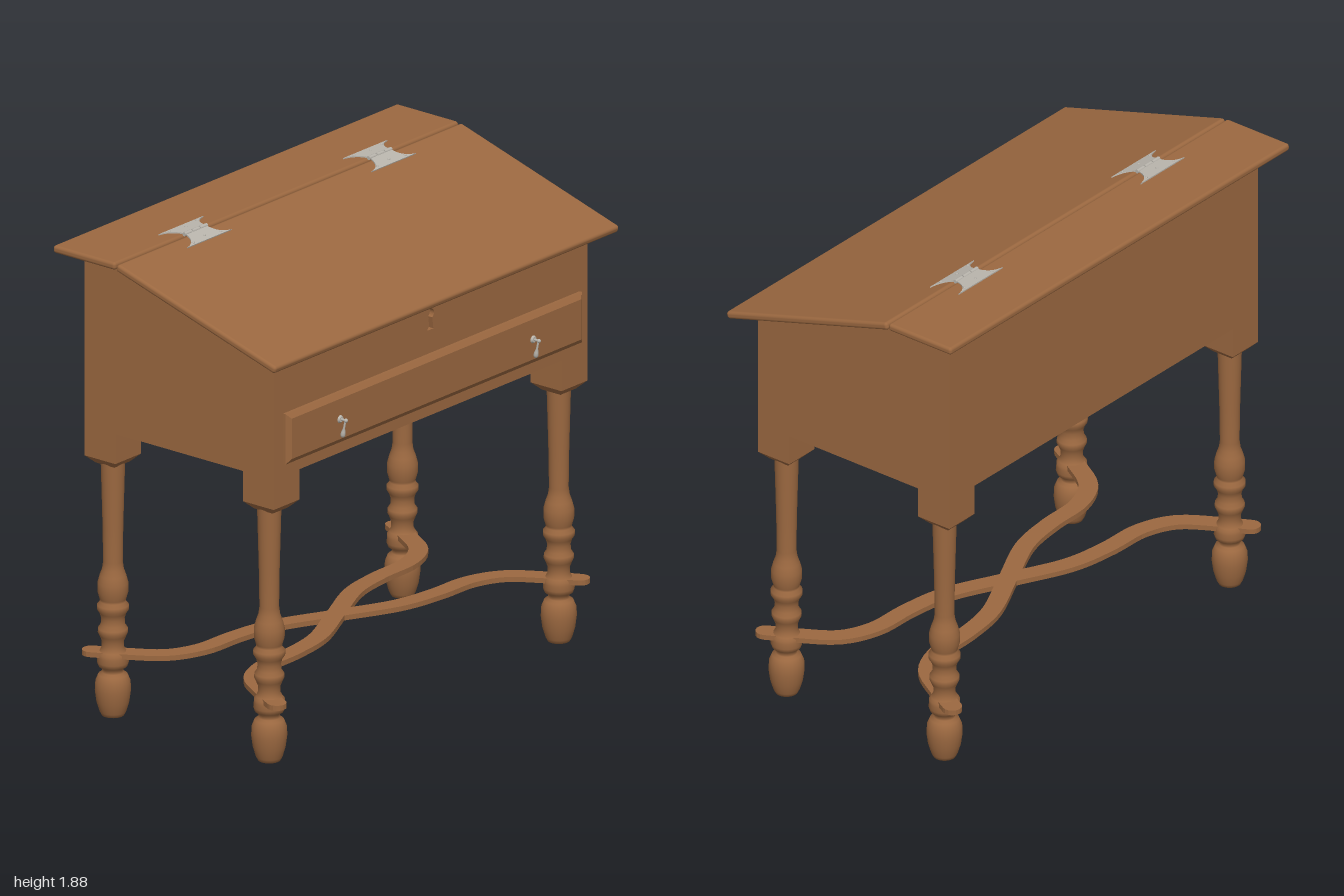
import * as THREE from 'three';
import { RoundedBoxGeometry } from 'three/addons/geometries/RoundedBoxGeometry.js';

const wood = new THREE.MeshStandardMaterial({ color: 0x9b6840 });
const metal = new THREE.MeshStandardMaterial({ color: 0xb8b4ac });

function add(parent, name, geometry, material, x = 0, y = 0, z = 0) {
  const mesh = new THREE.Mesh(geometry, material);
  mesh.name = name;
  mesh.position.set(x, y, z);
  parent.add(mesh);
  return mesh;
}

const box = (w, h, d) => new THREE.BoxGeometry(w, h, d);
const vecs = (pts) => pts.map(([x, y]) => new THREE.Vector2(x, y));
const extrude = (shape, depth, options = {}) =>
  new THREE.ExtrudeGeometry(shape, { depth, bevelEnabled: false, curveSegments: 12, ...options });

const FOLD_Z = -0.235, TOP_Y = 1.855;        // line where the lid hinges
const SLOPE = Math.atan2(0.23, 0.775);

// Turned leg: foot, rings, baluster and tapering column
function legGeometry() {
  const profile = [
    [0, 0], [0.042, 0], [0.05, 0.015], [0.062, 0.055], [0.068, 0.1], [0.066, 0.135], [0.055, 0.162],
    [0.04, 0.17], [0.04, 0.185], [0.054, 0.195], [0.06, 0.212], [0.058, 0.232], [0.058, 0.245], [0.05, 0.255],
    [0.042, 0.27], [0.042, 0.295], [0.05, 0.315], [0.057, 0.33], [0.056, 0.345], [0.046, 0.36],
    [0.044, 0.385], [0.05, 0.405], [0.06, 0.42], [0.06, 0.438], [0.048, 0.452], [0.05, 0.462],
    [0.058, 0.49], [0.058, 0.525], [0.05, 0.555], [0.041, 0.58], [0.037, 0.61], [0.039, 0.75],
    [0.043, 0.9], [0.046, 1.01]];
  return new THREE.LatheGeometry(vecs(profile), 24);
}

// Flat S-shaped bar from one corner to the opposite one
function stretcherGeometry(side) {
  const half = [[0.88, 0.45], [0.82, 0.34], [0.73, 0.21], [0.6, 0.15], [0.42, 0.14], [0.24, 0.11]];
  const pts = [...half, [0, 0], ...half.map(([x, z]) => [-x, -z]).reverse()];
  const curve = new THREE.CatmullRomCurve3(pts.map(([x, z]) => new THREE.Vector3(x, side * z, 0)));
  const outline = [], r = 0.037, n = 60;
  const pass = (from, to, step, sign) => {
    for (let i = from; i !== to + step; i += step) {
      const p = curve.getPointAt(i / n), t = curve.getTangentAt(i / n);
      outline.push(new THREE.Vector2(p.x - sign * t.y * r, p.y + sign * t.x * r));
    }
    // rounded end
    const p = curve.getPointAt(to / n), t = curve.getTangentAt(to / n);
    const start = Math.atan2(sign * t.x, -sign * t.y);
    for (let k = 1; k < 8; k++) {
      const a = start - (k / 8) * Math.PI;
      outline.push(new THREE.Vector2(p.x + r * Math.cos(a), p.y + r * Math.sin(a)));
    }
  };
  pass(0, n, 1, 1);
  pass(n, 0, -1, -1);
  return extrude(new THREE.Shape(outline), 0.02).rotateX(Math.PI / 2);
}

// Butterfly hinge leaf, lying flat and opening towards +z
function leafGeometry() {
  const s = new THREE.Shape();
  s.moveTo(-0.06, 0);
  s.lineTo(0.06, 0);
  s.quadraticCurveTo(0.065, -0.06, 0.13, -0.07);
  s.lineTo(-0.13, -0.07);
  s.quadraticCurveTo(-0.065, -0.06, -0.06, 0);
  return extrude(s, 0.005).rotateX(-Math.PI / 2);
}

function buildHinge(x) {
  const hinge = new THREE.Group();
  hinge.name = 'hinge';
  hinge.position.set(x, TOP_Y + 0.015, FOLD_Z);
  for (const front of [true, false]) {
    const leaf = new THREE.Group();
    leaf.name = front ? 'frontLeaf' : 'backLeaf';
    leaf.rotation.set(front ? SLOPE : 0, front ? 0 : Math.PI, 0);
    add(leaf, 'leafPlate', leafGeometry(), metal);
    for (const sx of [-0.08, 0, 0.08]) {
      const screw = add(leaf, 'screw', new THREE.SphereGeometry(0.006, 10, 6), metal, sx, 0.005, sx ? 0.058 : 0.045);
      screw.scale.y = 0.6;
    }
    hinge.add(leaf);
  }
  for (const kx of [-0.045, 0, 0.045]) {
    add(hinge, 'knuckle', new THREE.CylinderGeometry(0.008, 0.008, 0.04, 12).rotateZ(Math.PI / 2), metal, kx, 0.003, 0);
  }
  return hinge;
}

// Drop pull hanging from a small rosette
function buildPull(x) {
  const pull = new THREE.Group();
  pull.name = 'drawerPull';
  pull.position.set(x, 1.3, 0.49);
  add(pull, 'rosette', new THREE.CylinderGeometry(0.011, 0.016, 0.008, 16).rotateX(Math.PI / 2), metal, 0, 0, 0.003);
  add(pull, 'stem', new THREE.CylinderGeometry(0.005, 0.005, 0.03, 10).rotateX(Math.PI / 2), metal, 0, 0, 0.015);
  add(pull, 'stemKnob', new THREE.SphereGeometry(0.008, 12, 8), metal, 0, 0, 0.028);
  const drop = [[0, -0.075], [0.007, -0.071], [0.01, -0.062], [0.008, -0.05], [0.004, -0.035], [0.004, -0.01], [0, 0]];
  const mesh = add(pull, 'drop', new THREE.LatheGeometry(vecs(drop), 14), metal, 0, 0.002, 0.026);
  mesh.rotation.x = 0.2;
  return pull;
}

function buildCase() {
  const desk = new THREE.Group();
  desk.name = 'case';

  // Side panels with the sloping top edge
  const side = new THREE.Shape(vecs([[-0.46, 1.15], [0.46, 1.15], [0.46, 1.633], [FOLD_Z, 1.84], [-0.46, 1.84]]));
  for (const x of [-0.91, 0.89]) {
    add(desk, 'sidePanel', extrude(side, 0.02).rotateY(-Math.PI / 2).scale(1, 1, 1), wood, x + 0.02, 0, 0);
  }
  desk.children.forEach((m) => m.geometry.scale(1, 1, 1));

  // Front panel with the keyhole
  const front = new THREE.Shape(vecs([[-0.89, 1.15], [0.89, 1.15], [0.89, 1.633], [-0.89, 1.633]]));
  const keyhole = new THREE.Path();
  keyhole.absarc(0, 1.553, 0.02, -Math.PI / 3, Math.PI + Math.PI / 3, false);
  keyhole.lineTo(-0.017, 1.49);
  keyhole.lineTo(0.017, 1.49);
  front.holes.push(keyhole);
  add(desk, 'frontPanel', extrude(front, 0.02), wood, 0, 0, 0.44);
  add(desk, 'lockBlock', box(0.1, 0.13, 0.01), wood, 0, 1.53, 0.434);

  add(desk, 'backPanel', box(1.78, 0.69, 0.02), wood, 0, 1.495, -0.45);
  add(desk, 'bottomBoard', box(1.78, 0.015, 0.88), wood, 0, 1.175, 0);

  // Drawer front with bevelled edges
  const face = new THREE.Shape(vecs([[-0.84, 1.22], [0.84, 1.22], [0.84, 1.38], [-0.84, 1.38]]));
  add(desk, 'drawerFront', extrude(face, 0.012,
    { bevelEnabled: true, bevelSize: 0.02, bevelThickness: 0.014, bevelSegments: 1 }), wood, 0, 0, 0.464);
  for (const x of [-0.56, 0.56]) desk.add(buildPull(x));
  return desk;
}

function buildLid() {
  const lid = new THREE.Group();
  lid.name = 'lid';
  add(lid, 'topBoard', new RoundedBoxGeometry(2, 0.03, 0.302, 3, 0.012), wood, 0, TOP_Y, -0.389);
  const length = Math.hypot(0.775, 0.23) - 0.003;
  const slant = new THREE.Group();
  slant.name = 'slantLid';
  slant.position.set(0, TOP_Y, FOLD_Z);
  slant.rotation.x = SLOPE;
  add(slant, 'slantBoard', new RoundedBoxGeometry(2, 0.03, length, 3, 0.012), wood, 0, 0, length / 2 + 0.003);
  lid.add(slant);
  for (const x of [-0.535, 0.535]) lid.add(buildHinge(x));
  return lid;
}

export function createModel() {
  const model = new THREE.Group();
  model.name = 'slantTopDesk';
  model.add(buildCase(), buildLid());

  // Legs, with square posts chamfered to meet the turning
  const leg = legGeometry();
  const chamfer = new THREE.CylinderGeometry(0.075 * Math.SQRT2, 0.045 * Math.SQRT2, 0.03, 4)
    .rotateY(Math.PI / 4).toNonIndexed();
  chamfer.computeVertexNormals();
  for (const sx of [-1, 1]) {
    for (const sz of [-1, 1]) {
      add(model, 'leg', leg, wood, sx * 0.84, 0, sz * 0.38);
      add(model, 'legPost', box(0.15, 0.15, 0.15), wood, sx * 0.835, 1.105, sz * 0.385);
      add(model, 'postChamfer', chamfer, wood, sx * 0.835, 1.015, sz * 0.385);
    }
  }

  // Crossed stretchers
  for (const side of [-1, 1]) add(model, 'stretcher', stretcherGeometry(side), wood, 0, 0.255, 0);
  return model;
}
